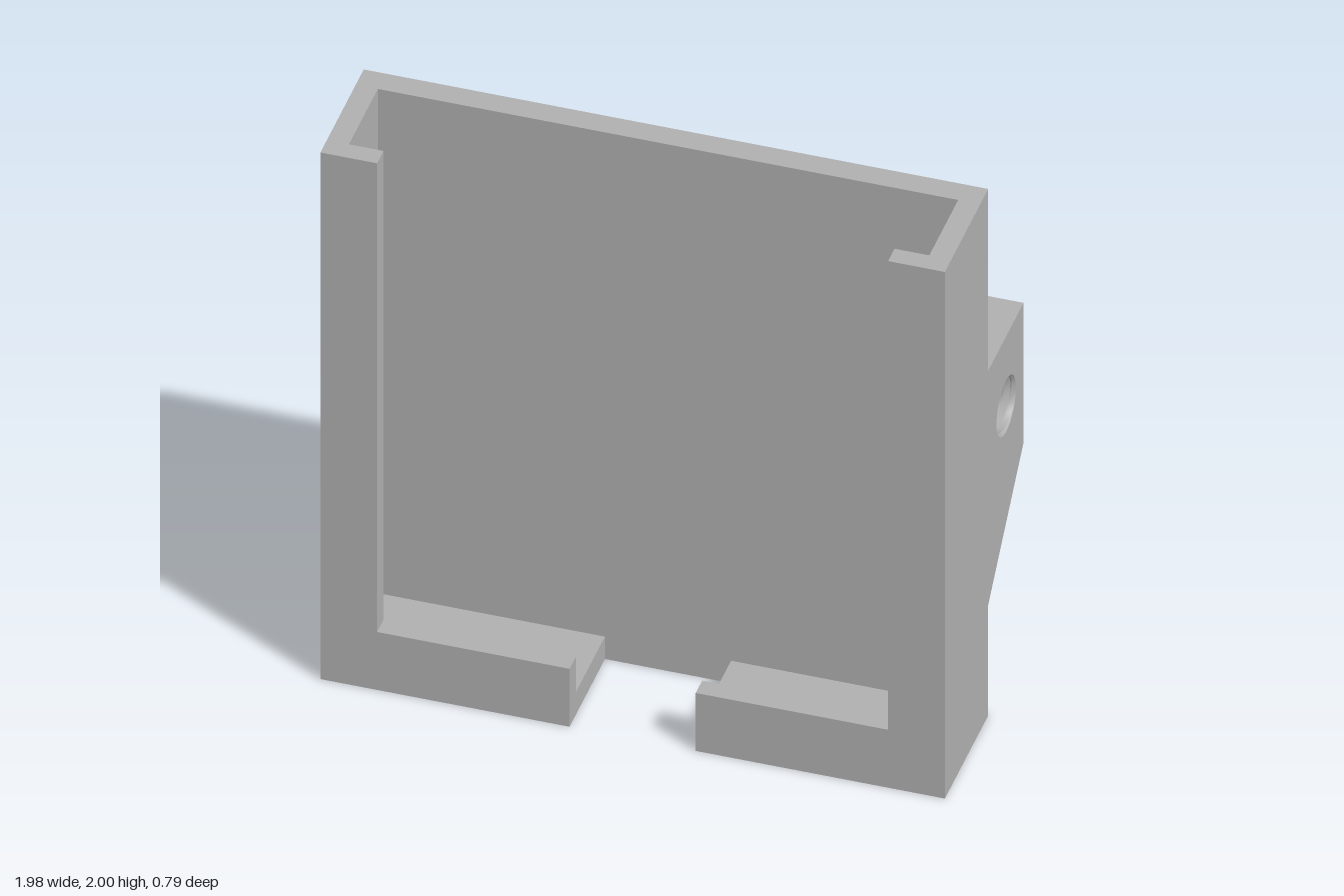
import * as THREE from 'three';
import { toCreasedNormals } from 'three/addons/utils/BufferGeometryUtils.js';

const HOLE_R = 0.097, CREST_R = 0.066, ROOT_R = 0.09, PITCH = 0.04, HOLE_DEPTH = 0.2;

export function createModel() {
  const model = new THREE.Group();
  model.name = 'mountingBracket';
  const grey = new THREE.MeshStandardMaterial({ color: 0xb0b0b0 });
  grey.name = 'grey plastic';

  const add = (parent, name, geometry) => {
    const mesh = new THREE.Mesh(geometry, grey);
    mesh.name = name;
    parent.add(mesh);
    return mesh;
  };
  const box = (name, x0, x1, y0, y1, z0, z1) =>
    add(model, name, new THREE.BoxGeometry(x1 - x0, y1 - y0, z1 - z0))
      .position.set((x0 + x1) / 2, (y0 + y1) / 2, (z0 + z1) / 2);
  const outline = (points) => new THREE.Shape(points.map(([x, y]) => new THREE.Vector2(x, y)));
  const extrude = (shape, depth) =>
    new THREE.ExtrudeGeometry(shape, { depth, bevelEnabled: false, curveSegments: 24 });

  // Internal helical thread with a countersunk mouth at z = 0, running towards -z
  function threadGeometry() {
    const profile = [];
    const turns = Math.ceil(HOLE_DEPTH / PITCH) + 1;
    for (let k = 0; k <= turns; k++) {
      for (const [t, r] of [[0, CREST_R], [0.2, CREST_R], [0.55, ROOT_R], [0.65, ROOT_R]]) {
        profile.push(new THREE.Vector2(r, -(k + t) * PITCH));
      }
    }
    const segments = 48;
    const geometry = new THREE.LatheGeometry(profile, segments);
    const pos = geometry.attributes.position;
    for (let i = 0; i < pos.count; i++) {
      const turn = Math.floor(i / profile.length) / segments;
      const y = THREE.MathUtils.clamp(pos.getY(i) + turn * PITCH, -HOLE_DEPTH, 0);
      const r = Math.hypot(pos.getX(i), pos.getZ(i));
      const s = Math.max(r, HOLE_R + y) / r;
      pos.setXYZ(i, pos.getX(i) * s, y, pos.getZ(i) * s);
    }
    geometry.rotateX(Math.PI / 2);
    return toCreasedNormals(geometry, 0.5);
  }

  // Block with a blind threaded hole opening on its z = 0 face
  function threadedBlock(name, points, length, holeX, holeY) {
    const group = new THREE.Group();
    group.name = name;
    const drilled = outline(points);
    drilled.holes.push(new THREE.Path().absarc(holeX, holeY, HOLE_R, 0, Math.PI * 2, true));
    add(group, name + 'Drilled', extrude(drilled, HOLE_DEPTH)).position.z = -HOLE_DEPTH;
    add(group, name + 'Solid', extrude(outline(points), length - HOLE_DEPTH)).position.z = -length;
    add(group, name + 'Thread', threadGeometry()).position.set(holeX, holeY, 0);
    model.add(group);
    return group;
  }

  // Tray back
  box('backPlate', -0.99, 0.99, 0, 2, -0.04, 0.04);

  // Side channels, and bottom ledges with a central gap
  for (const s of [-1, 1]) {
    const side = s > 0 ? 'left' : 'right';
    const channel = outline([
      [0.99, 0.04], [0.99, 0.395], [0.81, 0.395], [0.81, 0.33], [0.92, 0.33], [0.92, 0.04],
    ].map(([x, z]) => [s * x, -z]));
    add(model, side + 'Channel', extrude(channel, 2).rotateX(-Math.PI / 2));
    const span = (a, b) => (s > 0 ? [a, b] : [-b, -a]);
    box(side + 'Floor', ...span(0.2, 0.92), 0, 0.085, 0.04, 0.33);
    box(side + 'FrontLip', ...span(0.2, 0.81), 0, 0.22, 0.33, 0.395);
  }

  // Side mount, hole facing +x
  const sideMount = threadedBlock('sideMount',
    [[0.04, 0.42], [0.395, 0.78], [0.395, 1.31], [0.04, 1.31]], 0.29, 0.22, 1.045);
  sideMount.rotation.y = Math.PI / 2;
  sideMount.position.x = 0.99;

  // Bottom mount, hole facing down
  const bottomMount = threadedBlock('bottomMount',
    [[-0.29, -0.395], [0.29, -0.395], [0.29, -0.04], [-0.29, -0.04]], 0.27, 0, -0.22);
  bottomMount.rotation.x = Math.PI / 2;

  return model;
}
